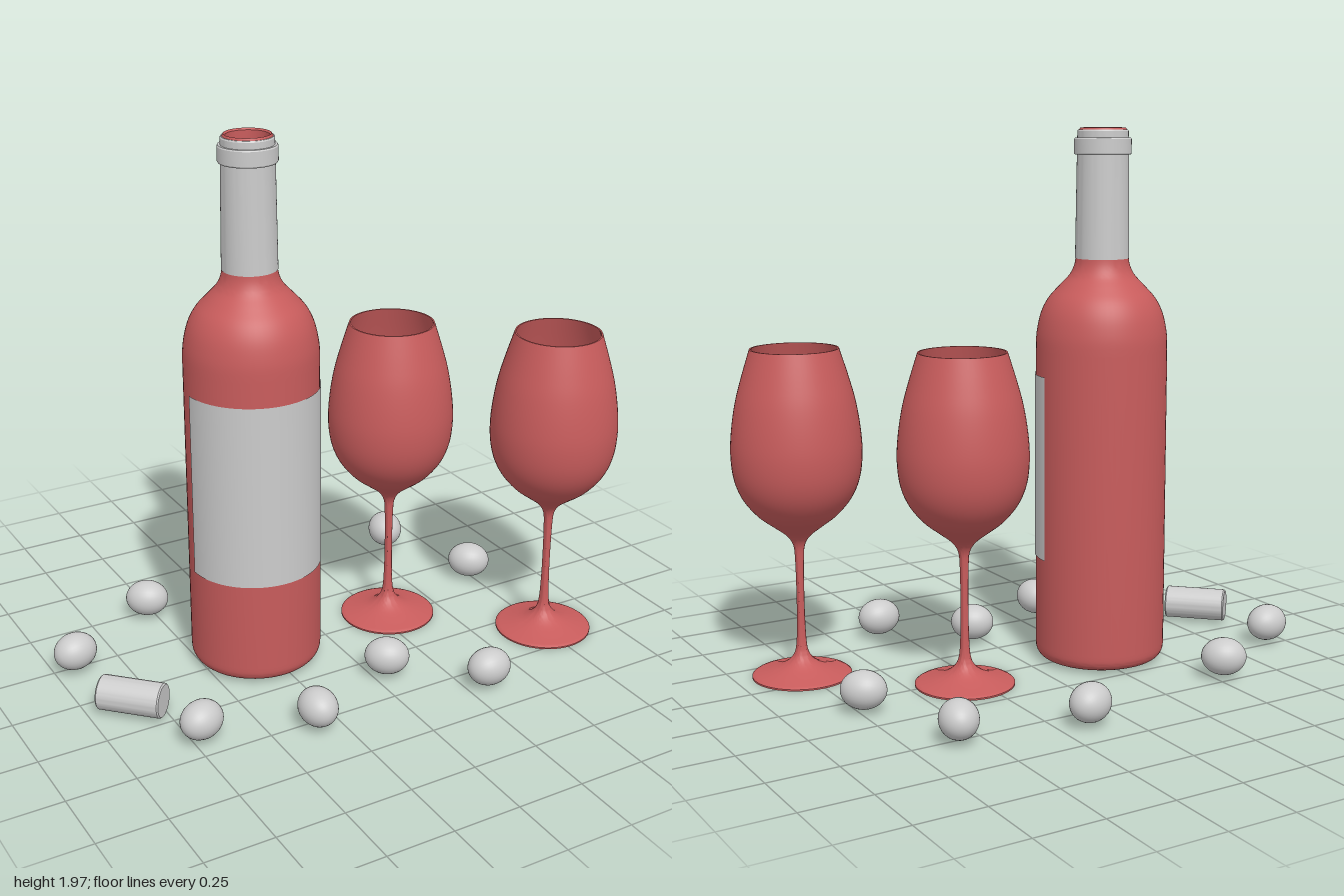
import * as THREE from 'three';
import { toCreasedNormals } from 'three/addons/utils/BufferGeometryUtils.js';

const grey = new THREE.MeshStandardMaterial({ color: 0xcccccc });
const greyThin = new THREE.MeshStandardMaterial({ color: 0xcccccc, side: THREE.DoubleSide });
const red = new THREE.MeshStandardMaterial({ color: 0xc85c5c });

const vecs = (pts) => pts.map(([r, y]) => new THREE.Vector2(r, y));

// smooth curve through [radius, height] points
const spline = (pts, n) => new THREE.SplineCurve(vecs(pts)).getPoints(n)
  .map((p) => new THREE.Vector2(Math.max(p.x, 0), p.y));

function part(name, geometry, material, x = 0, y = 0, z = 0) {
  const mesh = new THREE.Mesh(geometry, material);
  mesh.name = name;
  mesh.position.set(x, y, z);
  return mesh;
}

const turned = (points, crease = 0.7) => toCreasedNormals(new THREE.LatheGeometry(points, 64), crease);

function createBottle() {
  const bottle = new THREE.Group();
  bottle.name = 'bottle';

  // glass body: hollow base, outer wall, lip, then the inner wall back down
  const body = [
    ...spline([[0, 0.075], [0.06, 0.067], [0.12, 0.04], [0.17, 0.012], [0.195, 0.008], [0.222, 0.018], [0.237, 0.04], [0.24, 0.07]], 28),
    ...spline([[0.24, 1.17], [0.237, 1.23], [0.222, 1.3], [0.195, 1.355], [0.155, 1.4], [0.118, 1.44], [0.101, 1.475], [0.095, 1.51]], 28),
    ...vecs([[0.086, 1.87], [0.086, 1.958], [0.081, 1.966], [0.075, 1.96], [0.075, 1.5]]),
    ...spline([[0.085, 1.46], [0.14, 1.39], [0.2, 1.3], [0.222, 1.18]], 12),
    ...vecs([[0.222, 0.09], [0.16, 0.06], [0.08, 0.09], [0, 0.1]]),
  ];
  bottle.add(part('bottleGlass', turned(body), red));

  // paper label wrapped around the front half
  bottle.add(part('label', new THREE.CylinderGeometry(0.243, 0.243, 0.68, 48, 1, true, -Math.PI / 2, Math.PI), greyThin, 0, 0.74, 0));

  // neck sleeve with its raised collar
  const sleeve = vecs([
    [0.094, 1.5], [0.098, 1.5], [0.093, 1.87], [0.1, 1.87], [0.103, 1.875], [0.103, 1.925],
    [0.1, 1.93], [0.092, 1.93], [0.092, 1.953], [0.089, 1.958], [0.084, 1.958],
  ]);
  bottle.add(part('neckSleeve', turned(sleeve, 0.5), grey));
  return bottle;
}

function createWineGlass() {
  const glass = new THREE.Group();
  glass.name = 'wineGlass';

  // foot, stem and bowl outside, then the bowl inside
  const outline = [
    ...vecs([[0, 0], [0.18, 0], [0.18, 0.006]]),
    ...spline([[0.175, 0.01], [0.12, 0.024], [0.07, 0.042], [0.035, 0.07], [0.02, 0.11], [0.015, 0.2], [0.014, 0.32],
      [0.016, 0.44], [0.022, 0.49], [0.045, 0.525], [0.09, 0.56], [0.145, 0.603], [0.195, 0.665], [0.223, 0.735], [0.233, 0.82],
      [0.228, 0.91], [0.212, 1.01], [0.188, 1.1], [0.157, 1.2]], 80),
    ...spline([[0.151, 1.2], [0.182, 1.1], [0.206, 1.01], [0.222, 0.91], [0.227, 0.82], [0.217, 0.735],
      [0.189, 0.67], [0.139, 0.61], [0.08, 0.565], [0, 0.54]], 40),
  ];
  glass.add(part('glassBody', turned(outline), red));

  // liquid surface
  const wine = new THREE.CircleGeometry(0.225, 64).rotateX(-Math.PI / 2);
  glass.add(part('wineSurface', wine, red, 0, 0.8, 0));
  return glass;
}

export function createModel() {
  const model = new THREE.Group();
  model.name = 'wineStillLife';

  const bottle = createBottle();
  bottle.position.set(-0.286, 0, -0.02);
  model.add(bottle);

  for (const [x, z] of [[0.3, -0.035], [0.762, 0.355]]) {
    const glass = createWineGlass();
    glass.position.set(x, 0, z);
    model.add(glass);
  }

  // scattered grapes: x, z, turn of the long axis in degrees
  const grapes = [
    [-0.53, -0.467, -35], [0.139, -0.612, 25], [0.588, -0.52, 70], [-0.921, -0.23, 10], [0.735, -0.112, -40],
    [-0.716, 0.405, 20], [0.05, 0.363, -35], [-0.334, 0.532, 90], [0.33, 0.608, 0],
  ];
  const berry = new THREE.SphereGeometry(0.068, 32, 20).rotateZ(Math.PI / 2).scale(1.2, 1, 1);
  for (const [x, z, turn] of grapes) {
    const grape = part('grape', berry, grey, x, 0.082, z);
    grape.rotation.y = THREE.MathUtils.degToRad(turn);
    model.add(grape);
  }

  // cork lying on its side, with softened rims
  const corkShape = vecs([[0, -0.117], [0.058, -0.117], [0.062, -0.112], [0.062, 0.112], [0.058, 0.117], [0, 0.117]]);
  const cork = part('cork', turned(corkShape, 0.5).rotateZ(Math.PI / 2), grey, -0.857, 0.072, 0.14);
  cork.rotation.y = -Math.PI / 4;
  model.add(cork);

  return model;
}
